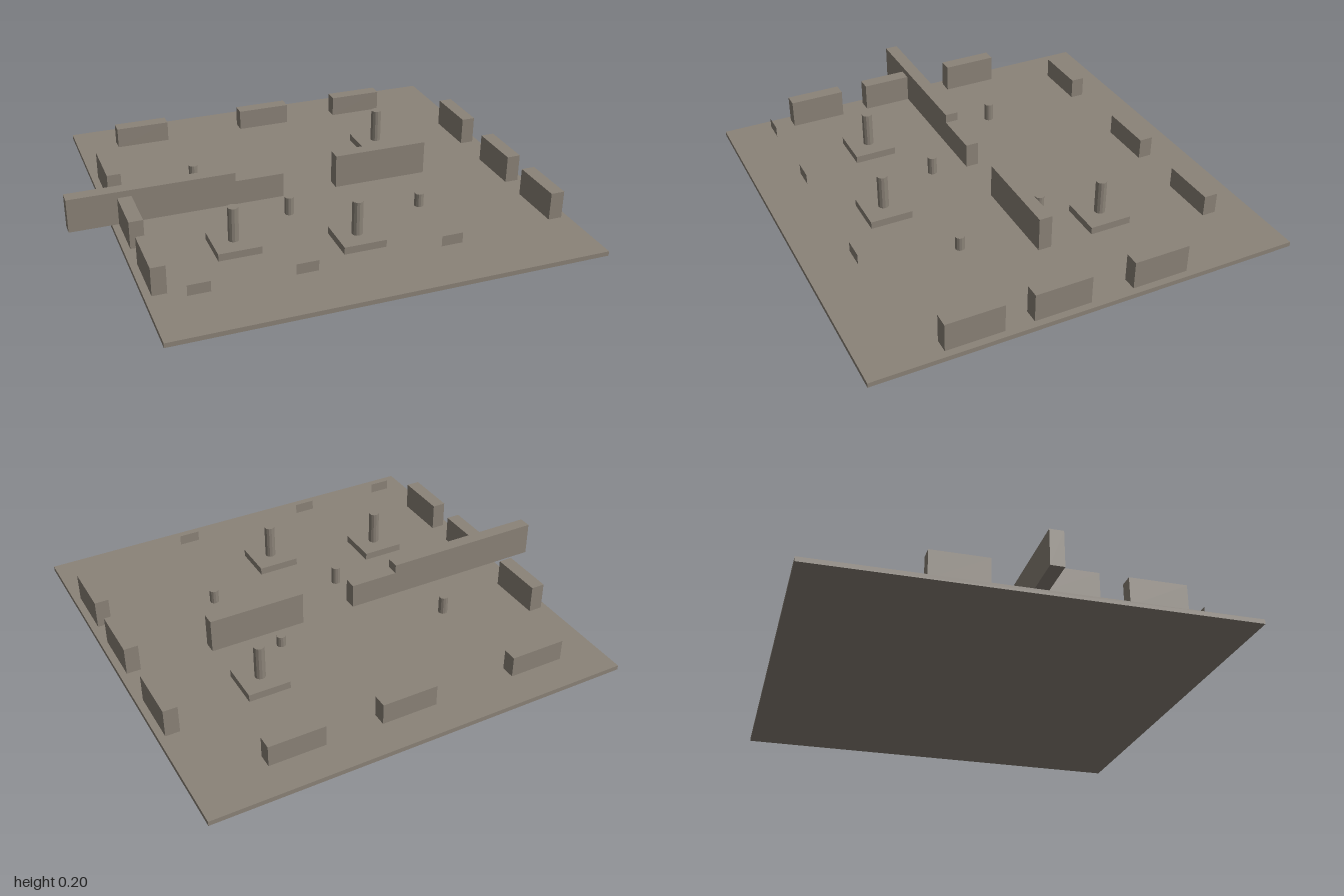
import * as THREE from 'three';

export function createModel() {
  const group = new THREE.Group();
  const stone = new THREE.MeshStandardMaterial({ color: 0x8b8378, flatShading: true });
  const panel = new THREE.MeshStandardMaterial({ color: 0x8b8378, side: THREE.DoubleSide });
  const floor = 0.02;

  const add = (name, geometry, material, x, y, z) => {
    const mesh = new THREE.Mesh(geometry, material);
    mesh.name = name;
    mesh.position.set(x, y, z);
    group.add(mesh);
  };

  // Box from its x range, y range and z range
  const box = (name, x0, x1, y0, y1, z0, z1) =>
    add(name, new THREE.BoxGeometry(x1 - x0, y1 - y0, z1 - z0), stone,
      (x0 + x1) / 2, (y0 + y1) / 2, (z0 + z1) / 2);

  // Upright round post
  const post = (name, x, z, radius, y0, y1) =>
    add(name, new THREE.CylinderGeometry(radius, radius, y1 - y0, 12), stone, x, (y0 + y1) / 2, z);

  // Ground slab
  box('groundSlab', -0.82, 1, 0, floor, -0.91, 0.91);

  // Central dividing wall: high part, lower broken end, and far section
  box('longWall', -1, -0.28, floor, 0.17, -0.03, 0.027);
  box('lowWallEnd', -0.28, -0.065, floor, 0.13, -0.03, 0.027);
  box('shortWall', 0.18, 0.605, floor, 0.17, -0.03, 0.027);

  // Low walls along the back edge
  for (const x of [-0.517, 0.088, 0.575])
    box('backBlock', x - 0.121, x + 0.121, floor, 0.112, -0.76, -0.7);

  // Blocks along both sides
  for (const x of [-0.76, 0.94])
    for (const z of [-0.307, 0.12, 0.483])
      box('sideBlock', x - 0.03, x + 0.03, floor, 0.142, z - 0.121, z + 0.121);

  // Pillars on square plinths
  for (const [x, z] of [[-0.395, 0.362], [0.09, 0.483], [0.515, -0.307]]) {
    box('plinth', x - 0.091, x + 0.091, floor, 0.052, z - 0.091, z + 0.091);
    post('pillar', x, z, 0.023, 0.052, 0.202);
  }

  // Short broken posts
  for (const [x, z, top] of [[-0.395, -0.246, 0.1], [0.332, -0.124, 0.068],
    [-0.093, 0.18, 0.1], [0.453, 0.302, 0.08]])
    post('stump', x, z, 0.02, floor, top);

  // Thin upright panels near the front edge
  for (const x of [-0.638, -0.214, 0.392])
    add('frontPanel', new THREE.PlaneGeometry(0.091, 0.045), panel, x, 0.096, 0.727);

  return group;
}
